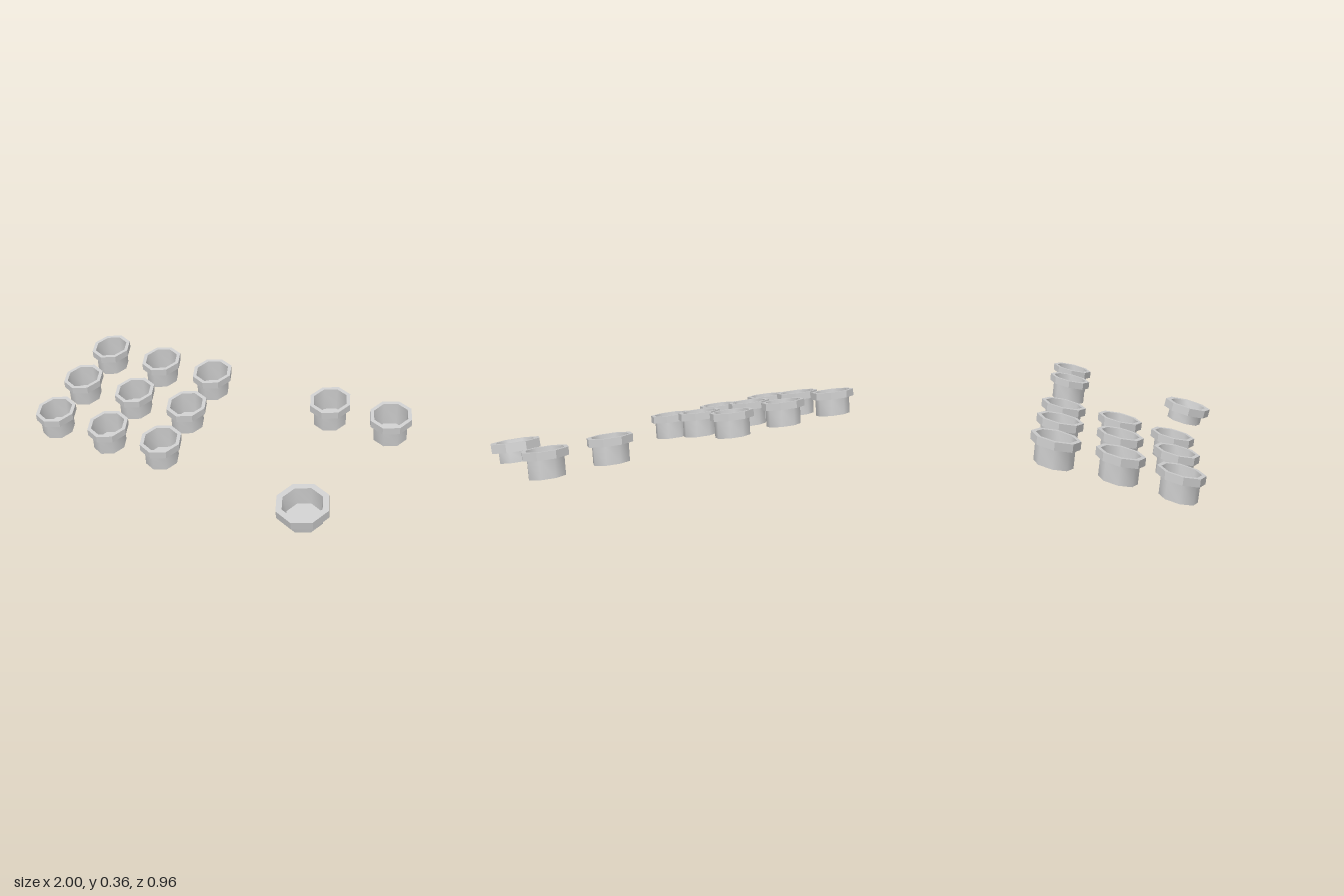
import * as THREE from 'three';
import { toCreasedNormals } from 'three/addons/utils/BufferGeometryUtils.js';

const material = new THREE.MeshStandardMaterial({ color: 0xcccccc });

// Octagonal turned part from [radius, height] pairs, leaned toward the front
function turned(name, profile, crease, lean) {
  const points = profile.map(([r, y]) => new THREE.Vector2(r, y));
  const geometry = new THREE.LatheGeometry(points, 8);
  geometry.applyMatrix4(lean);
  const mesh = new THREE.Mesh(toCreasedNormals(geometry, crease), material);
  mesh.name = name;
  return mesh;
}

// Cup hung from the centre of its top opening (y = 0)
function cup({ rimR, bodyR, innerR, floorR, rimH, height, floorH, slope, shift, depth }) {
  const lean = new THREE.Matrix4().set(
    1, 0, 0, 0,
    0, 1, -slope, 0,
    0, shift, depth, 0,
    0, 0, 0, 1);
  const group = new THREE.Group();
  group.add(
    turned('rim', [[bodyR, -rimH], [rimR, -rimH], [rimR, 0], [innerR, 0]], 0.3, lean),
    turned('body', [[0, -height], [bodyR, -height], [bodyR, -rimH]], 0.9, lean),
    turned('hollow', [[innerR, 0], [floorR, floorH - height], [0, floorH - height]], 0.9, lean));
  return group;
}

export function createModel() {
  const model = new THREE.Group();
  model.name = 'cupArrangement';

  const small = {
    rimR: 0.115, bodyR: 0.092, innerR: 0.094, floorR: 0.086,
    rimH: 0.038, height: 0.131, floorH: 0.012, slope: 0.24, shift: 0.12, depth: 0.98,
  };
  const large = {
    rimR: 0.139, bodyR: 0.102, innerR: 0.107, floorR: 0.092,
    rimH: 0.045, height: 0.103, floorH: 0.012, slope: 0.26, shift: 0.26, depth: 0.968,
  };

  const place = (name, spec, x, y, z) => {
    const c = cup(spec);
    c.name = name;
    c.position.set(x, y, z);
    model.add(c);
  };

  // Stepped rows, front to back: [height, depth position]
  const rows = [[0.165, 0.205], [0.253, -0.07], [0.329, -0.361]];

  // Three by three block on the model's right
  rows.forEach(([y, z], r) => {
    [-0.885, -0.531, -0.19].forEach((x, c) => place(`gridCup${r + 1}_${c + 1}`, small, x, y, z));
  });

  // Pair at the back on the model's left
  const [backY, backZ] = rows[2];
  [0.538, 0.882].forEach((x, i) => place(`backCup${i + 1}`, small, x, backY, backZ));

  // Wide, shallow cup in front of the pair
  place('wideCup', large, 0.71, 0.131, 0.351);

  return model;
}
